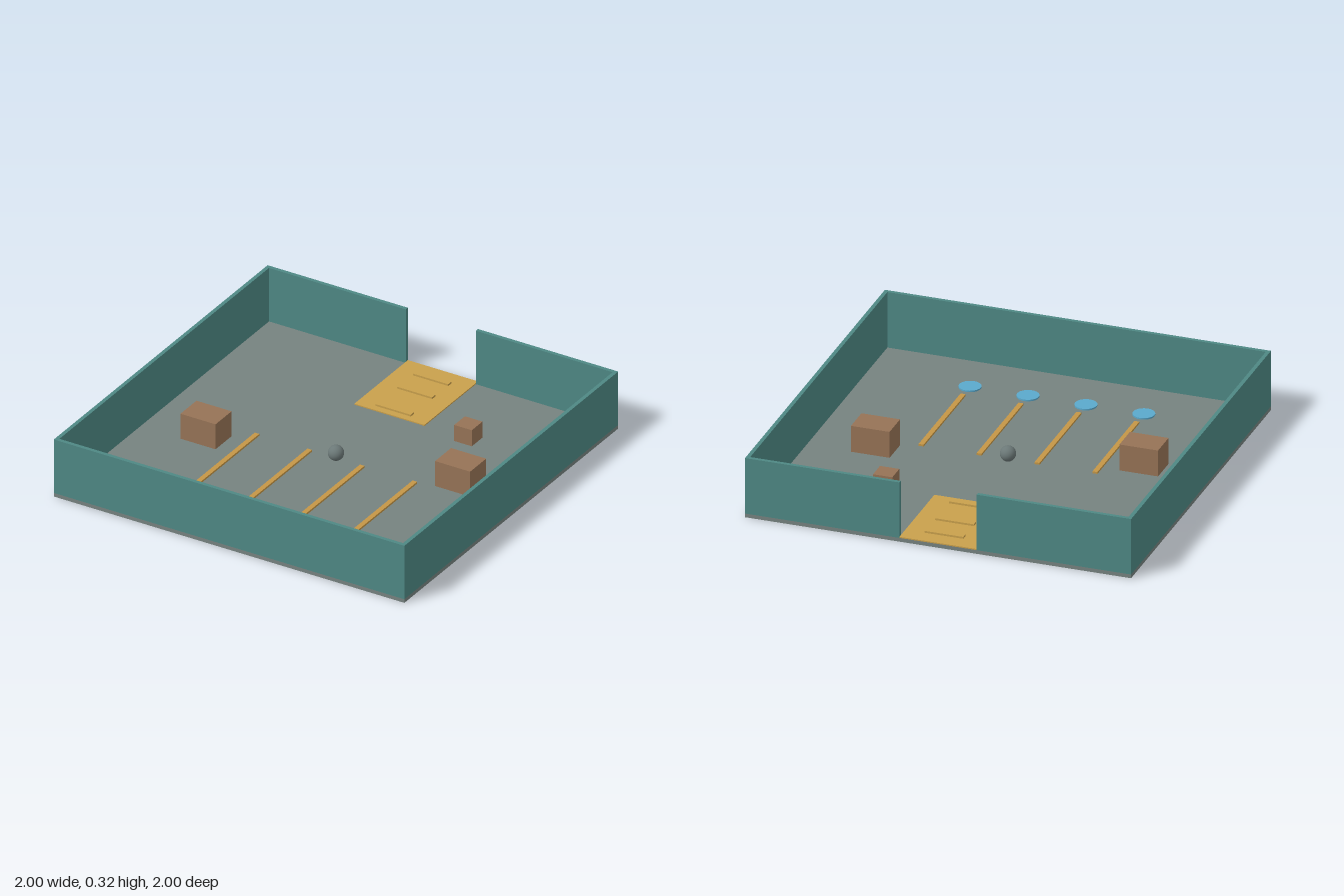
import * as THREE from 'three';

const mat = (name, color) => {
  const m = new THREE.MeshStandardMaterial({ color });
  m.name = name;
  return m;
};

export function createModel() {
  const group = new THREE.Group();
  const floorGrey = mat('floorGrey', 0x76827f);
  const wallTeal = mat('wallTeal', 0x4e8884);
  const crateBrown = mat('crateBrown', 0x967356);
  const padOrange = mat('padOrange', 0xc9a04c);
  const stripeOrange = mat('stripeOrange', 0xc49646);
  const discBlue = mat('discBlue', 0x5aa9cc);
  const ballGrey = mat('ballGrey', 0x6b7877);

  const FLOOR = 0.02;
  const add = (name, geometry, material, x, y, z) => {
    const mesh = new THREE.Mesh(geometry, material);
    mesh.name = name;
    mesh.position.set(x, y, z);
    group.add(mesh);
  };
  // Box standing on height y
  const box = (name, material, w, h, d, x, y, z) =>
    add(name, new THREE.BoxGeometry(w, h, d), material, x, y + h / 2, z);

  // Floor slab and surrounding walls, with a doorway in the back wall
  box('floor', floorGrey, 2, FLOOR, 2, 0, 0, 0);
  box('frontWall', wallTeal, 2, 0.3, 0.02, 0, FLOOR, 0.99);
  for (const s of [-1, 1]) {
    box('sideWall', wallTeal, 0.02, 0.3, 1.96, s * 0.99, FLOOR, 0);
    box('backWall', wallTeal, 0.8, 0.3, 0.02, s * 0.6, FLOOR, -0.99);
  }
  // Corner pieces closing the back ends of the side walls
  // (the back walls already span to x = +-1)

  // Entrance pad with three raised treads
  box('entrancePad', padOrange, 0.4, 0.006, 0.5, 0, FLOOR, -0.75);
  for (const z of [-0.9, -0.75, -0.55])
    box('padTread', padOrange, 0.2, 0.01, 0.03, 0, FLOOR + 0.006, z);

  // Lanes, each ending in a round marker
  for (const x of [-0.45, -0.15, 0.15, 0.45]) {
    box('laneStripe', stripeOrange, 0.026, 0.01, 0.6, x, FLOOR, 0.3);
    add('laneMarker', new THREE.CylinderGeometry(0.056, 0.056, 0.008, 24), discBlue, x, FLOOR + 0.004, 0.7);
  }

  // Crates
  box('crate', crateBrown, 0.2, 0.14, 0.15, -0.65, FLOOR, 0.15);
  box('crate', crateBrown, 0.2, 0.14, 0.15, 0.65, FLOOR, 0.1 - 0.2);
  box('smallCrate', crateBrown, 0.1, 0.09, 0.1, 0.45, FLOOR, -0.5);

  // Ball in the middle
  add('ball', new THREE.SphereGeometry(0.04, 24, 16), ballGrey, 0, 0.055, 0);

  return group;
}
